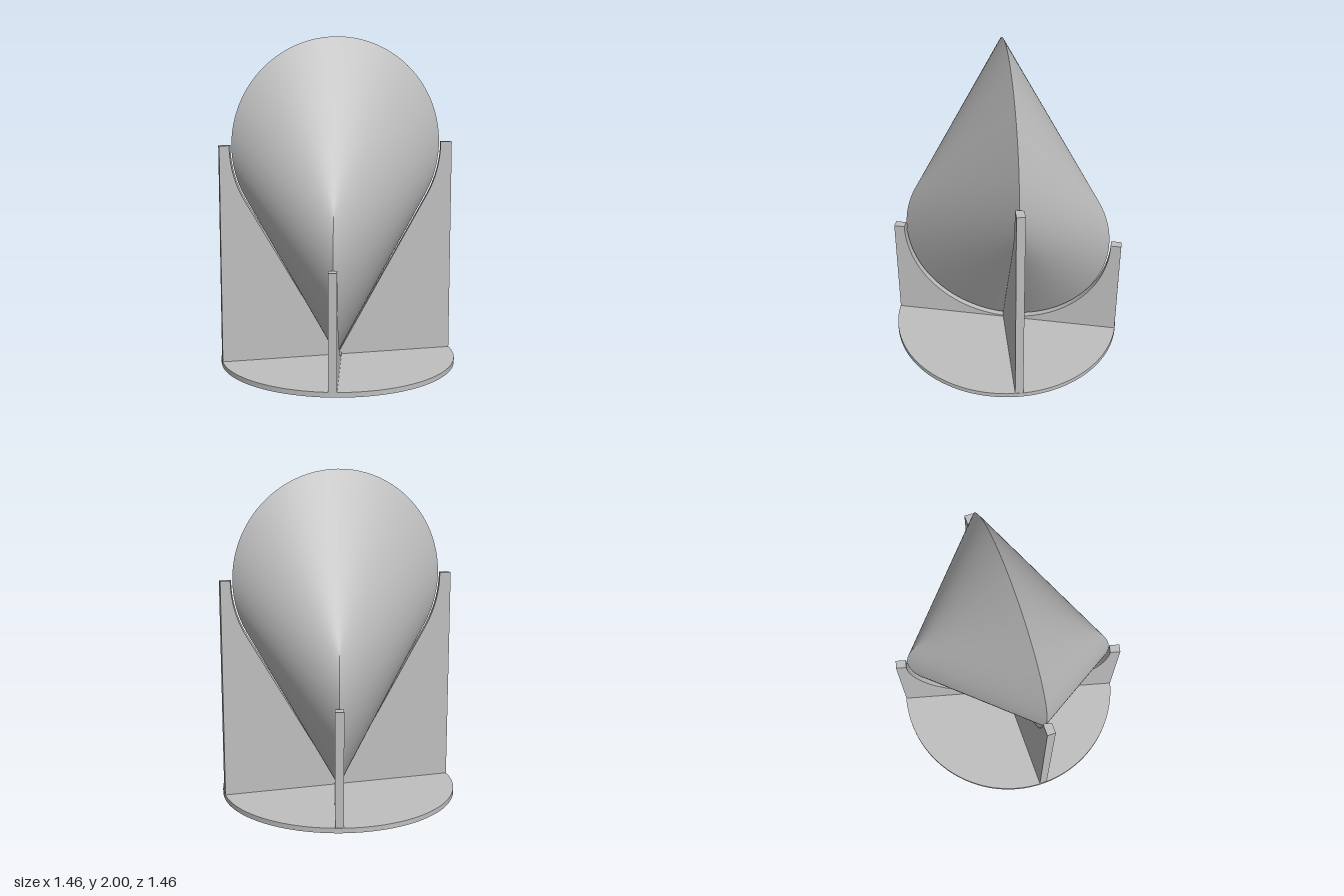
import * as THREE from 'three';
import { toCreasedNormals } from 'three/addons/utils/BufferGeometryUtils.js';

const R = 0.65;                        // radius of both edge circles
const MID = 1.025;                     // height midway between their centres
const TWIST = THREE.MathUtils.degToRad(105); // angle between the circle planes
const BASE_TOP = 0.03;
const OUTER = 0.726;

// One developable half of the solid: straight rulings join the lower circle to the upper one
function ruledHalf(side) {
  const nT = 120, nV = 24, positions = [], index = [];
  for (let i = 0; i <= nT; i++) {
    const t = (2 * Math.PI / 3) * Math.sin((i / nT - 0.5) * Math.PI);
    const c = Math.cos(t);
    const low = new THREE.Vector3(
      R * Math.sin(t) * Math.cos(TWIST), MID + R * (-0.5 - c), R * Math.sin(t) * Math.sin(TWIST));
    const high = new THREE.Vector3(
      side * R * Math.sqrt(Math.max(0, 1 + 2 * c)) / (1 + c), MID + R * (0.5 - c / (1 + c)), 0);
    for (let j = 0; j <= nV; j++) {
      positions.push(...low.clone().lerp(high, j / nV).toArray());
      if (i === nT || j === nV) continue;
      const a = i * (nV + 1) + j, b = a + nV + 1;
      if (side > 0) index.push(a, a + 1, b, b, a + 1, b + 1);
      else index.push(a, b, a + 1, b, b + 1, a + 1);
    }
  }
  const geometry = new THREE.BufferGeometry();
  geometry.setAttribute('position', new THREE.Float32BufferAttribute(positions, 3));
  geometry.setIndex(index);
  geometry.computeVertexNormals();
  return geometry;
}

// Upright plate whose inner edge cradles a circle; shear slants that edge across the thickness
function finGeometry(centreY, arcDegrees, shear) {
  const thickness = 0.05, r = R + 0.01, top = centreY + 0.005;
  const shape = new THREE.Shape();
  shape.moveTo(0, BASE_TOP);
  shape.lineTo(OUTER, BASE_TOP);
  shape.lineTo(OUTER, top);
  shape.lineTo(r, top);
  shape.absarc(0, centreY, r, 0, -THREE.MathUtils.degToRad(arcDegrees), true);
  shape.closePath();
  const geometry = new THREE.ExtrudeGeometry(shape, { depth: thickness, bevelEnabled: false, curveSegments: 40 });
  geometry.translate(0, 0, -thickness / 2);
  const p = geometry.attributes.position;
  for (let i = 0; i < p.count; i++) {
    if (p.getX(i) < OUTER - 0.001) p.setX(i, p.getX(i) + shear * p.getZ(i));
  }
  return toCreasedNormals(geometry, 0.4);
}

export function createModel() {
  const model = new THREE.Group();
  model.name = 'rollingSolidOnStand';
  const grey = new THREE.MeshStandardMaterial({ color: 0xbfbfbf });
  grey.name = 'light grey';

  const add = (parent, name, geometry) => {
    const mesh = new THREE.Mesh(geometry, grey);
    mesh.name = name;
    parent.add(mesh);
    return mesh;
  };

  // Twisted solid spanned by two circles
  const solid = new THREE.Group();
  solid.name = 'twoCircleSolid';
  add(solid, 'leftSurface', ruledHalf(1));
  add(solid, 'rightSurface', ruledHalf(-1));
  model.add(solid);

  // Round base plate
  const base = add(model, 'basePlate', new THREE.CylinderGeometry(0.728, 0.728, BASE_TOP, 128));
  base.position.y = BASE_TOP / 2;

  // Two tall fins under the upper circle, two short ones under the lower circle
  const tall = finGeometry(MID + R / 2, 30, 1 / Math.tan(TWIST));
  const short = finGeometry(MID - R / 2, 90, 0);
  add(model, 'leftTallFin', tall);
  add(model, 'rightTallFin', tall).rotation.y = Math.PI;
  add(model, 'frontShortFin', short).rotation.y = -TWIST;
  add(model, 'backShortFin', short).rotation.y = Math.PI - TWIST;
  return model;
}
